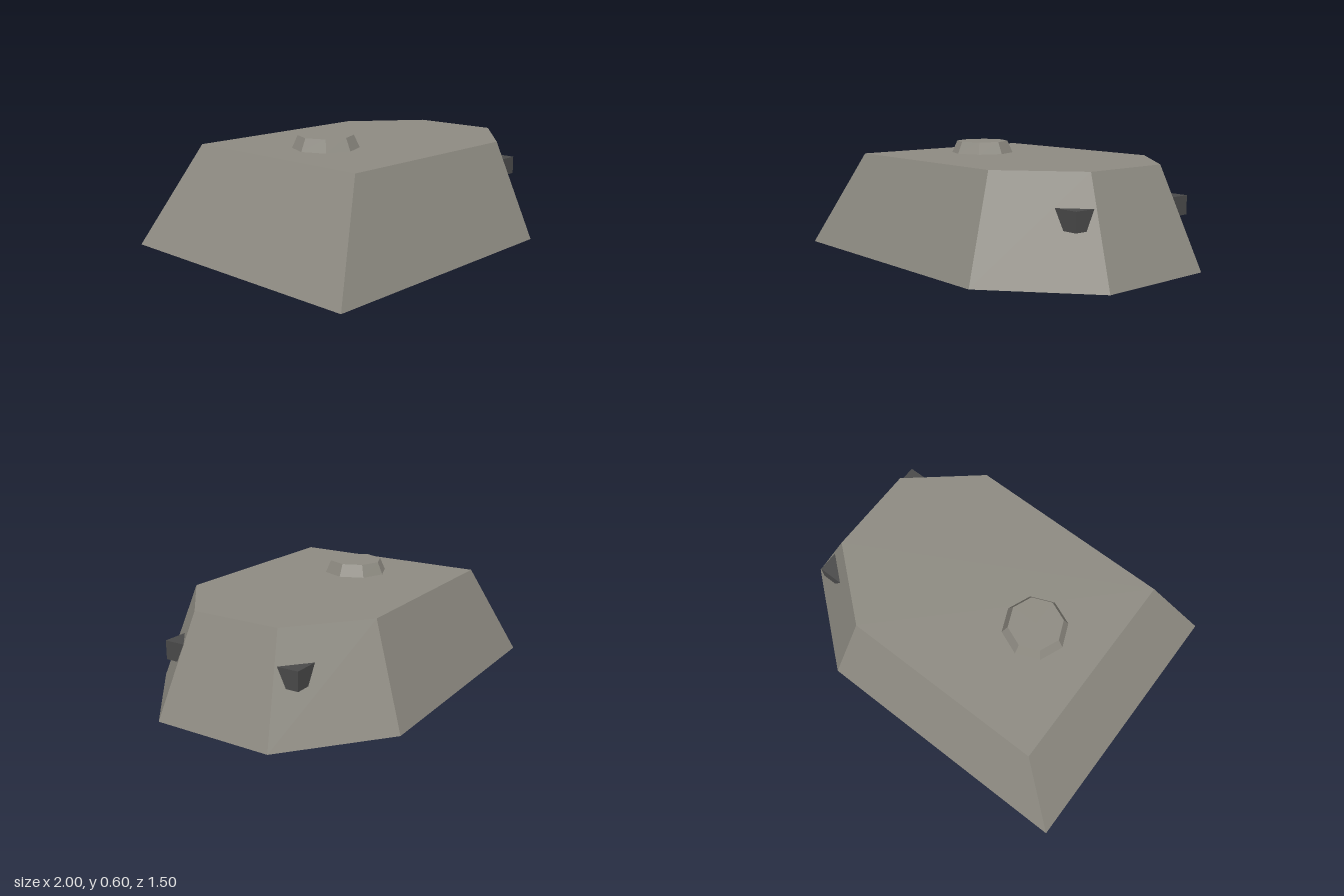
import * as THREE from 'three';

// Closed solid between two matching outlines of [x, z] points, listed anticlockwise seen from above
function loftSolid(lower, y0, upper, y1) {
  const pos = [];
  const lo = lower.map(([x, z]) => [x, y0, z]);
  const hi = upper.map(([x, z]) => [x, y1, z]);
  const tri = (a, b, c) => pos.push(...a, ...b, ...c);
  const n = lo.length;
  for (let i = 0; i < n; i++) {
    const j = (i + 1) % n;
    tri(lo[i], lo[j], hi[j]);
    tri(lo[i], hi[j], hi[i]);
  }
  for (let i = 1; i < n - 1; i++) {
    tri(hi[0], hi[i], hi[i + 1]);
    tri(lo[0], lo[i + 1], lo[i]);
  }
  const geo = new THREE.BufferGeometry();
  geo.setAttribute('position', new THREE.Float32BufferAttribute(pos, 3));
  geo.computeVertexNormals();
  return geo;
}

// Six-sided outline, mirrored across z, with a narrowed nose at +x
function outline(rear, shoulder, nose, halfWidth, halfNose) {
  const half = [[rear, halfWidth], [shoulder, halfWidth], [nose, halfNose]];
  return [...half, ...half.map(([x, z]) => [x, -z]).reverse()];
}

export function createModel() {
  const model = new THREE.Group();
  model.name = 'armouredTurret';

  const armour = new THREE.MeshStandardMaterial({ color: 0x8e8b82, flatShading: true });
  armour.name = 'armour grey';
  const dark = new THREE.MeshStandardMaterial({ color: 0x4a4a4a, flatShading: true });
  dark.name = 'dark grey';

  function add(name, geometry, material, x = 0, y = 0, z = 0) {
    const mesh = new THREE.Mesh(geometry, material);
    mesh.name = name;
    mesh.position.set(x, y, z);
    model.add(mesh);
  }

  // Sloped hull
  const base = outline(-1, 0.5, 1, 0.75, 0.333);
  const roof = outline(-0.71, 0.417, 0.79, 0.5625, 0.25);
  add('hull', loftSolid(base, 0, roof, 0.533), armour);

  // Tapered octagonal hatch on the roof
  add('hatch', new THREE.CylinderGeometry(0.147, 0.177, 0.067, 8), armour, -0.335, 0.5665, 0);

  // Sight blocks set into the angled cheeks
  for (const side of [1, -1]) {
    const name = side > 0 ? 'frontSightBlock' : 'backSightBlock';
    add(name, new THREE.BoxGeometry(0.14, 0.1, 0.135), dark, 0.776, 0.318, side * 0.333);
  }

  return model;
}
